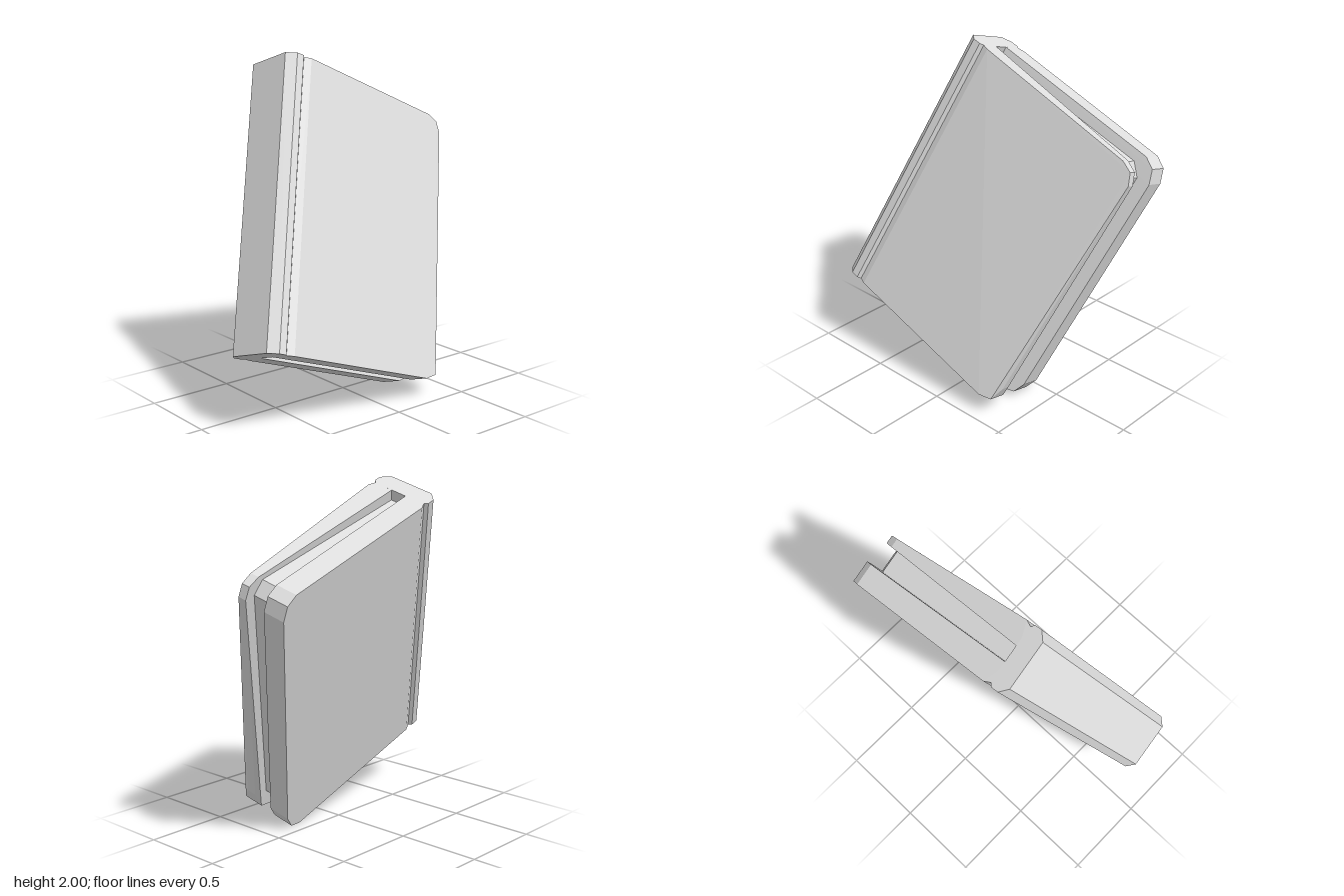
import * as THREE from 'three';
import { ConvexGeometry } from 'three/addons/geometries/ConvexGeometry.js';

// Local axes of the book: x spine to fore-edge, y along the spine, z through the thickness.
const BOTTOM = 0.056, TOP = 1.73;

export function createModel() {
  const grey = new THREE.MeshStandardMaterial({ color: 0xe0e0e0 });
  grey.name = 'pale grey';

  const book = new THREE.Group();
  book.name = 'book';

  const addSolid = (name, points) => {
    const geometry = new ConvexGeometry(points.map((p) => new THREE.Vector3(...p)));
    const mesh = new THREE.Mesh(geometry, grey);
    mesh.name = name;
    book.add(mesh);
  };

  // A profile across the thickness, repeated at both ends of the spine
  const alongSpine = (profile) =>
    profile.flatMap(([x, z]) => [[x, BOTTOM, z], [x, TOP, z]]);

  // Spine with chamfered edges that fall into the hinge grooves
  addSolid('spine', alongSpine([
    [-0.965, 0.155], [-0.965, 0.436], [-0.917, 0.484], [-0.87, 0.484], [-0.848, 0.46],
    [-0.848, 0.131], [-0.87, 0.107], [-0.917, 0.107],
  ]));

  // Front cover: thick at the spine and foot, thinning to the fore-edge
  const frontFore = [ // x, y, inner z, outer z
    [0.223, 0.057, 0.345, 0.476], [0.301, 0.088, 0.347, 0.472], [0.316, 0.17, 0.38, 0.436],
    [0.316, 1.6, 0.384, 0.434], [0.285, 1.667, 0.384, 0.435], [0.217, 1.694, 0.382, 0.437],
  ];
  addSolid('frontCover', [
    ...alongSpine([[-0.87, 0.346], [-0.87, 0.458], [-0.848, 0.46], [-0.81, 0.482]]),
    ...frontFore.flatMap(([x, y, inner, outer]) => [[x, y, inner], [x, y, outer]]),
  ]);

  // Back cover: even thickness with clipped fore-edge corners
  const backFore = [
    [0.237, 0.056], [0.304, 0.088], [0.335, 0.17],
    [0.335, 1.61], [0.304, 1.69], [0.237, 1.725],
  ];
  addSolid('backCover', [
    ...alongSpine([[-0.87, 0.25], [-0.87, 0.133], [-0.848, 0.131], [-0.81, 0.107]]),
    ...backFore.flatMap(([x, y]) => [[x, y, 0.24], [x, y, 0.107]]),
  ]);

  // Page block, set back between the covers
  const pageOutline = [
    [-0.9, 0.115], [0.19, 0.115], [0.255, 0.18], [0.255, 1.6], [0.19, 1.665], [-0.9, 1.665],
  ];
  addSolid('pages', pageOutline.flatMap(([x, y]) => [[x, y, 0.225], [x, y, 0.39]]));

  // Lean back and tip over to the side
  book.rotation.set(
    THREE.MathUtils.degToRad(-18.6), 0, THREE.MathUtils.degToRad(-20), 'ZYX');

  const model = new THREE.Group();
  model.name = 'tiltedBook';
  model.add(book);
  return model;
}
